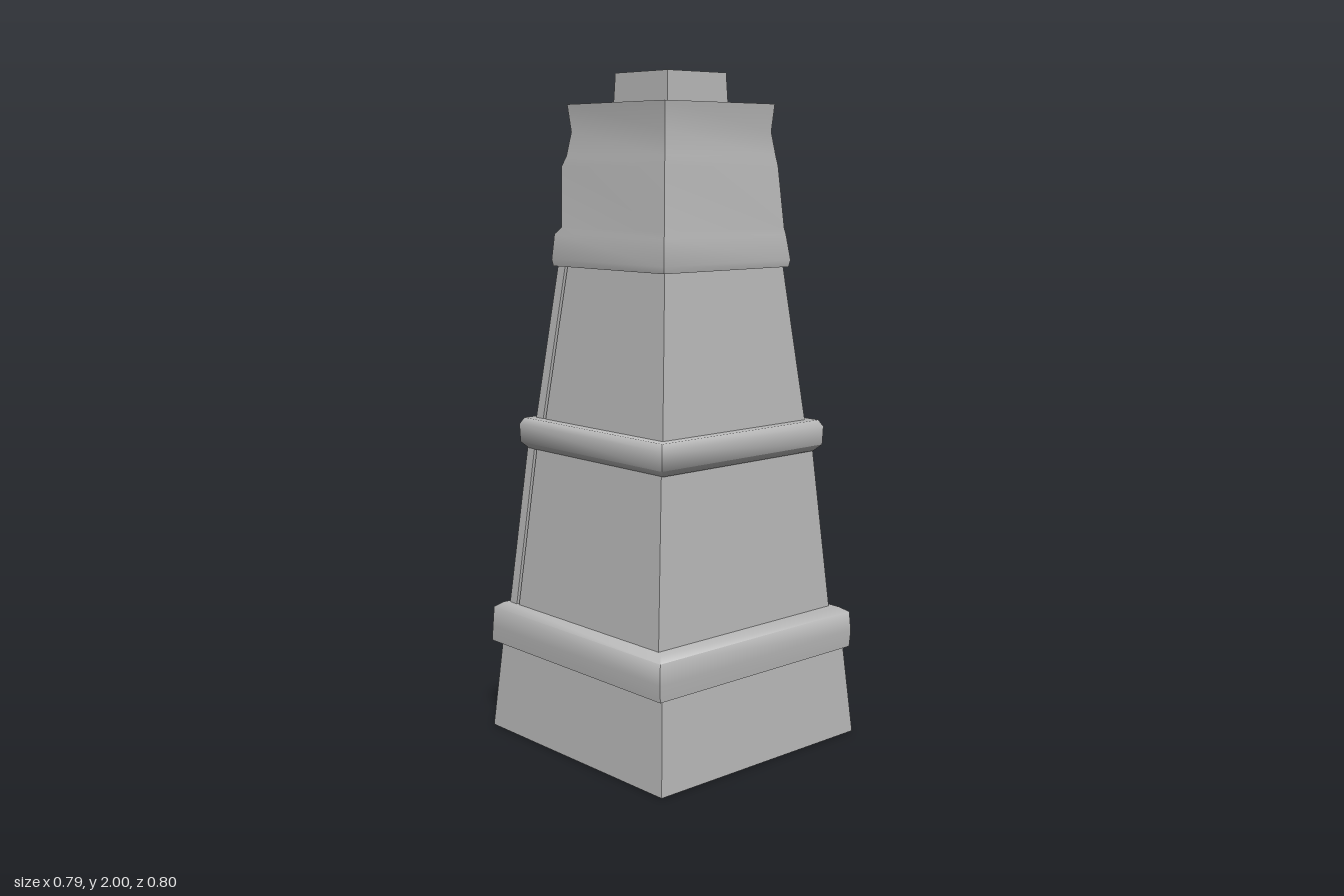
import * as THREE from 'three';
import { toCreasedNormals } from 'three/addons/utils/BufferGeometryUtils.js';

const stone = new THREE.MeshStandardMaterial({ color: 0xbababa, side: THREE.DoubleSide });
stone.name = 'grey stone';

export function createModel() {
  const tower = new THREE.Group();
  tower.name = 'tower';

  const add = (name, geometry, parent = tower) => {
    const mesh = new THREE.Mesh(geometry, stone);
    mesh.name = name;
    parent.add(mesh);
  };

  // Square shell from [half width, height] points; back optionally gives other depths behind.
  // Mouldings are smooth in profile and sharp at the corners.
  const squareShell = (profile, back) => {
    const points = profile.map(([half, y]) => new THREE.Vector2(half * Math.SQRT2, y));
    const geometry = new THREE.LatheGeometry(points, 4, Math.PI / 4);
    const pos = geometry.attributes.position;
    if (back) {
      for (let i = 0; i < pos.count; i++) {
        if (pos.getZ(i) < 0) pos.setZ(i, -back[i % profile.length]);
      }
    }
    return toCreasedNormals(geometry, 1.1);
  };

  // Box whose footprint [x0, x1, z0, z1] changes from bottom to top.
  const taperedBox = (bottom, top, y0, y1) => {
    const geometry = new THREE.BoxGeometry(1, 1, 1).toNonIndexed();
    const pos = geometry.attributes.position;
    for (let i = 0; i < pos.count; i++) {
      const r = pos.getY(i) > 0 ? top : bottom;
      pos.setXYZ(i, pos.getX(i) > 0 ? r[1] : r[0], pos.getY(i) > 0 ? y1 : y0, pos.getZ(i) > 0 ? r[3] : r[2]);
    }
    geometry.computeVertexNormals();
    return geometry;
  };

  // Hollow plinth, slightly forward, with an inner ledge
  add('plinth', squareShell([[0.395, 0], [0.372, 0.27]]).translate(0, 0, 0.006));
  add('plinthLedge', squareShell([[0.37, 0.265], [0.22, 0.3]]));

  // Moulded bands between the storeys
  add('lowerBand', squareShell(
    [[0.36, 0.262], [0.389, 0.27], [0.392, 0.32], [0.388, 0.38], [0.365, 0.395], [0.3, 0.395]],
    [0.365, 0.4, 0.39, 0.388, 0.368, 0.3]
  ));
  add('middleBand', squareShell([[0.27, 0.88], [0.305, 0.88], [0.324, 0.9], [0.326, 0.955], [0.315, 0.975], [0.24, 0.975]]));

  // Storeys: three walls, and a recessed panel behind two corner posts at the back.
  // h is half the width and f the depth of the front face.
  const storey = (name, [h0, f0], [h1, f1], y0, y1) => {
    const group = new THREE.Group();
    group.name = name;
    tower.add(group);
    const part = (label, rect) => add(label, taperedBox(rect(h0, f0), rect(h1, f1), y0, y1), group);
    part('frontWall', (h, f) => [-h, h, f - 0.015, f]);
    part('backPanel', h => [-h + 0.008, h - 0.008, -h + 0.04, -h + 0.05]);
    part('leftWall', (h, f) => [h - 0.015, h, -h + 0.04, f]);
    part('rightWall', (h, f) => [-h, -h + 0.015, -h + 0.04, f]);
    part('leftPost', h => [h - 0.03, h, -h - 0.006, -h + 0.028]);
    part('rightPost', h => [-h, -h + 0.03, -h - 0.006, -h + 0.028]);
  };
  storey('lowerStorey', [0.35, 0.338], [0.306, 0.301], 0.39, 0.885);
  storey('upperStorey', [0.287, 0.286], [0.236, 0.237], 0.97, 1.435);

  // Head with a flared rim; its back is stepped
  add('head', squareShell(
    [[0.2, 1.435], [0.248, 1.435], [0.252, 1.455], [0.242, 1.53], [0.238, 1.55], [0.224, 1.73], [0.219, 1.76], [0.209, 1.83], [0.216, 1.91], [0.1, 1.912]],
    [0.2, 0.25, 0.252, 0.25, 0.222, 0.235, 0.218, 0.206, 0.216, 0.1]
  ));

  // Small square cap
  add('cap', squareShell([[0.119, 1.91], [0.115, 2], [0, 2]]));
  return tower;
}
